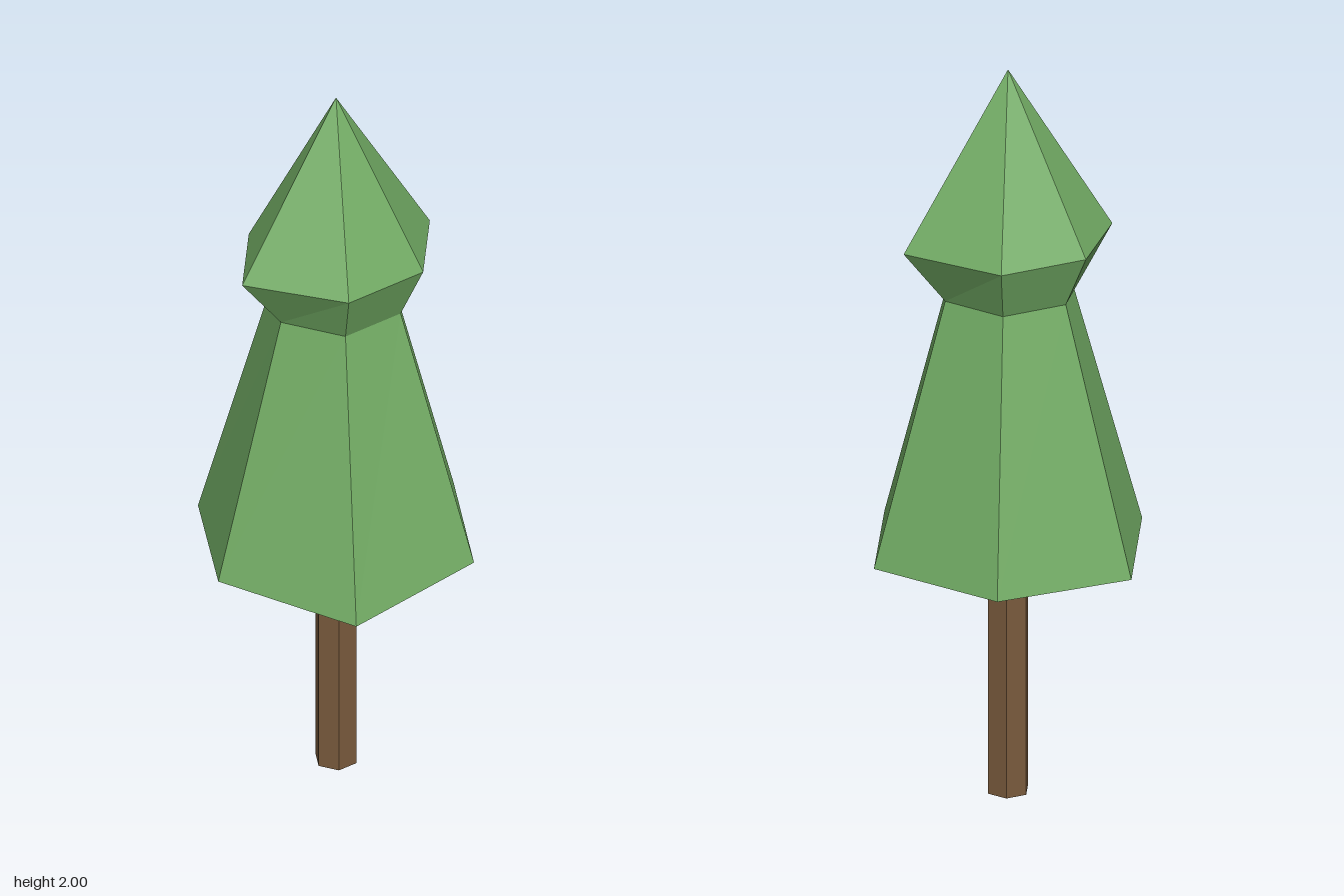
import * as THREE from 'three';

const SIDES = 6;

// Six-sided ring with corners on the z axis; k = 0 is the front corner.
function ring(radius, y) {
  return Array.from({ length: SIDES }, (_, k) => {
    const a = (k / SIDES) * Math.PI * 2;
    return new THREE.Vector3(radius * Math.sin(a), y, radius * Math.cos(a));
  });
}

// Joins rings from bottom to top with flat faces.
function loft(rings) {
  const points = [];
  for (let i = 0; i < rings.length - 1; i++) {
    const low = rings[i], high = rings[i + 1];
    for (let k = 0; k < SIDES; k++) {
      const n = (k + 1) % SIDES;
      points.push(low[k], low[n], high[n]);
      if (high[k].distanceTo(high[n]) > 1e-6) points.push(low[k], high[n], high[k]);
    }
  }
  const geometry = new THREE.BufferGeometry().setFromPoints(points);
  geometry.computeVertexNormals();
  return geometry;
}

export function createModel() {
  const leafGreen = new THREE.MeshStandardMaterial({ color: 0x73ad65, flatShading: true });
  leafGreen.name = 'leafGreen';
  const barkBrown = new THREE.MeshStandardMaterial({
    color: 0x7a5b3d, flatShading: true, side: THREE.DoubleSide,
  });
  barkBrown.name = 'barkBrown';

  const tree = new THREE.Group();
  tree.name = 'tree';

  // Trunk: open hexagonal tube
  const trunk = new THREE.Mesh(
    new THREE.CylinderGeometry(0.056, 0.056, 0.59, SIDES, 1, true), barkBrown);
  trunk.name = 'trunk';
  trunk.position.y = 0.295;
  tree.add(trunk);

  // Foliage: drooping skirt, waist and pointed crown
  const skirt = ring(0.38, 0.685);
  skirt[0].y = 0.64;
  skirt[4].y = 0.675;
  const crown = ring(0.24, 1.53);
  crown[2].x = 0.258;
  crown[5].x = -0.258;
  const foliage = new THREE.Mesh(
    loft([ring(0.056, 0.587), skirt, ring(0.178, 1.39), crown, ring(0, 2)]), leafGreen);
  foliage.name = 'foliage';
  tree.add(foliage);

  return tree;
}
